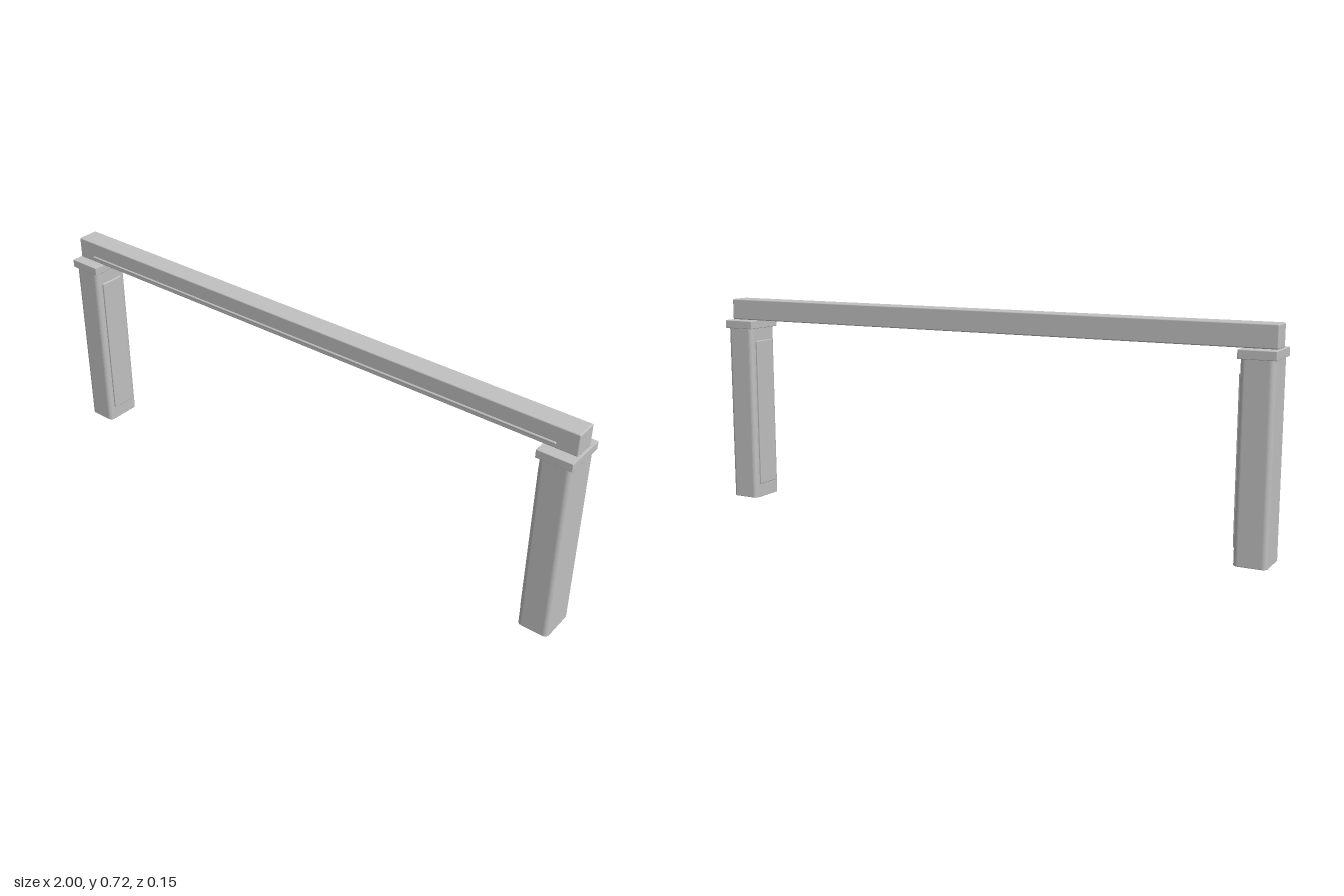
import * as THREE from 'three';
import { RoundedBoxGeometry } from 'three/addons/geometries/RoundedBoxGeometry.js';

const paint = new THREE.MeshStandardMaterial({ color: 0xc0c0c0 });
paint.name = 'lightGrey';

function addPart(parent, name, geometry, x, y, z) {
  const mesh = new THREE.Mesh(geometry, paint);
  mesh.name = name;
  mesh.position.set(x, y, z);
  parent.add(mesh);
  return mesh;
}

// Rounded rectangle in the XY plane, centred on the origin
function roundedRect(w, h, r) {
  const s = new THREE.Shape(), x = w / 2, y = h / 2;
  s.moveTo(-x + r, -y);
  s.lineTo(x - r, -y);
  s.absarc(x - r, -y + r, r, -Math.PI / 2, 0);
  s.lineTo(x, y - r);
  s.absarc(x - r, y - r, r, 0, Math.PI / 2);
  s.lineTo(-x + r, y);
  s.absarc(-x + r, y - r, r, Math.PI / 2, Math.PI);
  s.lineTo(-x, -y + r);
  s.absarc(-x + r, -y + r, r, Math.PI, Math.PI * 1.5);
  return s;
}

// Upright post with rounded vertical corners, standing on y = 0
function postGeometry(w, height, d, r) {
  const bevel = 0.002;
  const geometry = new THREE.ExtrudeGeometry(roundedRect(w - 2 * bevel, d - 2 * bevel, r), {
    depth: height - 2 * bevel, bevelEnabled: true, bevelThickness: bevel,
    bevelSize: bevel, bevelSegments: 2, curveSegments: 6,
  });
  geometry.translate(0, 0, bevel);
  geometry.rotateX(-Math.PI / 2);
  return geometry;
}

export function createModel() {
  const model = new THREE.Group();
  model.name = 'archway';

  // Two posts, each with a cap and a raised inner panel
  for (const side of [1, -1]) {
    const pillar = new THREE.Group();
    pillar.name = side > 0 ? 'leftPillar' : 'rightPillar';
    addPart(pillar, 'post', postGeometry(0.104, 0.624, 0.132, 0.014), side * 0.942, 0, 0);
    addPart(pillar, 'cap', new RoundedBoxGeometry(0.116, 0.028, 0.146, 2, 0.002), side * 0.942, 0.634, 0);
    addPart(pillar, 'innerPanel', new RoundedBoxGeometry(0.012, 0.525, 0.088, 2, 0.003), side * 0.8895, 0.3125, 0);
    model.add(pillar);
  }

  // Beam resting on the caps
  addPart(model, 'beam', new RoundedBoxGeometry(1.988, 0.073, 0.074, 3, 0.004), 0, 0.6855, 0);

  // Thin trim rod along the lower front of the beam
  const rod = new THREE.CapsuleGeometry(0.004, 1.846, 4, 12);
  rod.rotateZ(Math.PI / 2);
  addPart(model, 'trimRod', rod, 0, 0.668, 0.04);

  return model;
}
